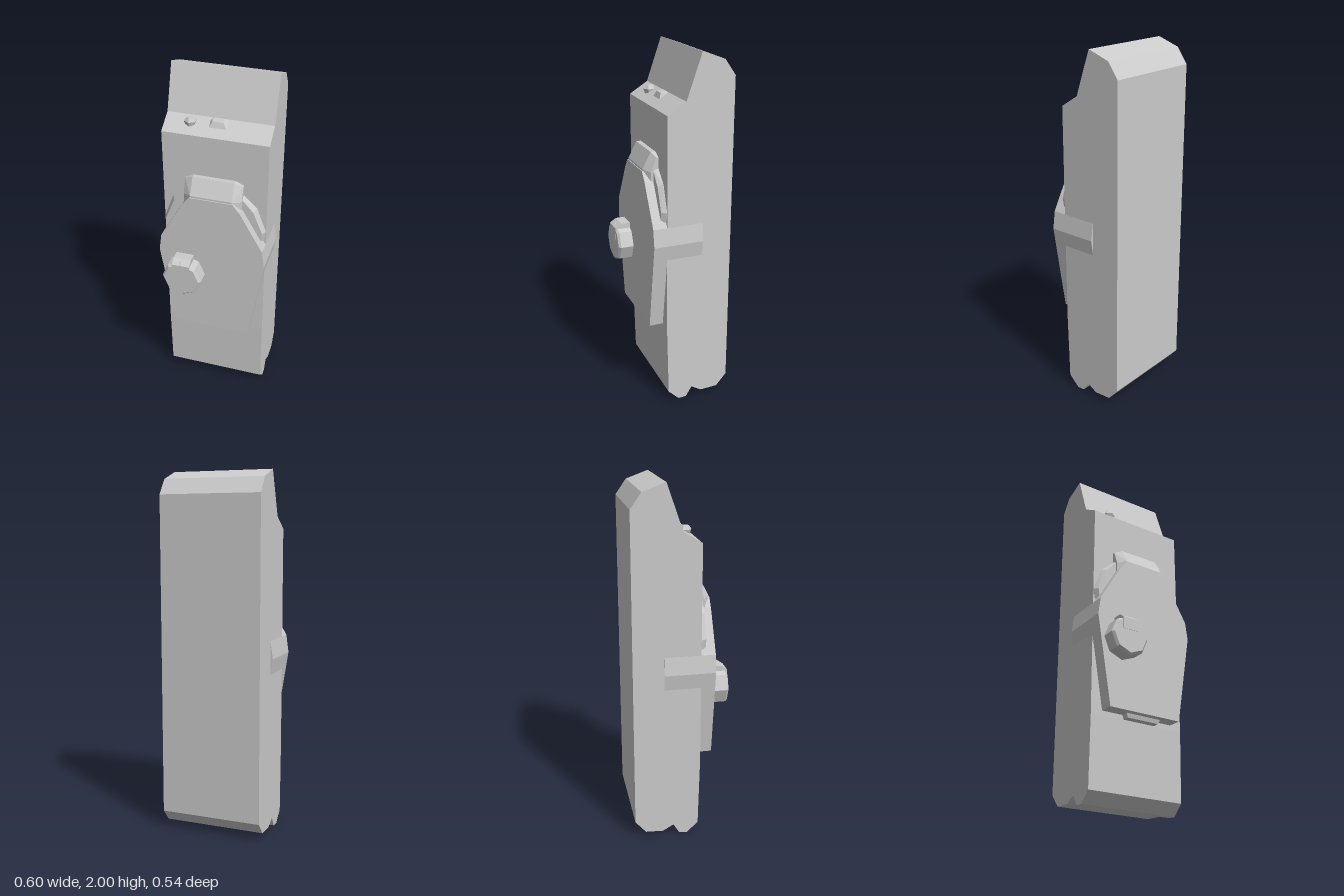
import * as THREE from 'three';
import { ConvexGeometry } from 'three/addons/geometries/ConvexGeometry.js';

const material = new THREE.MeshStandardMaterial({ color: 0xcccccc, flatShading: true });

function part(name, geometry, parent) {
  const mesh = new THREE.Mesh(geometry, material);
  mesh.name = name;
  parent.add(mesh);
  return mesh;
}

const extrude = (points, depth) => new THREE.ExtrudeGeometry(
  new THREE.Shape(points.map(([x, y]) => new THREE.Vector2(x, y))),
  { depth, bevelEnabled: false });

const hull = (points) => new ConvexGeometry(points.map((p) => new THREE.Vector3(...p)));

// Repeats each point on both sides of x = 0
const mirrored = (points) => points.flatMap(([x, y, z]) => [[x, y, z], [-x, y, z]]);

export function createModel() {
  const model = new THREE.Group();
  model.name = 'handheldDevice';

  // Body: side profile as [z, y], swept across the width
  const profile = [
    [-0.085, 2], [-0.21, 1.955], [-0.27, 1.87], [-0.27, 0.1], [-0.21, 0.03], [-0.11, 0.025],
    [-0.05, 0.06], [-0.015, 0.003], [0.03, 0], [0.093, 0.06], [0.103, 0.45], [0.103, 1.69], [0, 1.755],
  ];
  const body = extrude(profile.map(([z, y]) => [-z, y]), 0.576);
  body.translate(0, 0, -0.288).rotateY(Math.PI / 2);
  part('body', body, model);

  // Front plate: its widest part wraps slightly past the body sides
  const half = [[0.22, 0.478], [0.302, 0.985], [0.288, 1.085], [0.16, 1.31], [0.12, 1.36]];
  const outline = [...half, ...half.map(([x, y]) => [-x, y]).reverse()];
  part('frontPlate', extrude(outline, 0.282).translate(0, 0, -0.1), model);

  // Chamfered latch over the top of the plate
  part('latch', hull(mirrored([
    [0.16, 1.31, 0.05], [0.16, 1.31, 0.145], [0.16, 1.36, 0.145], [0.16, 1.44, 0.115], [0.16, 1.44, 0.05],
    [0.115, 1.31, 0.177], [0.115, 1.37, 0.177], [0.115, 1.46, 0.13], [0.115, 1.46, 0.05],
  ])), model);

  // Bevelled shoulder rims either side of the latch
  const rim = [[0.15, 1.39], [0.235, 1.31], [0.287, 1.17], [0.277, 1.115], [0.15, 1.115]];
  for (const side of [1, -1]) {
    part(side > 0 ? 'leftRim' : 'rightRim', hull(rim.flatMap(([x, y]) => [
      [side * x, y, 0.08], [side * x, y, 0.105],
      [side * (x > 0.15 ? x - 0.014 : x), y - (y > 1.3 ? 0.012 : 0), 0.132],
    ])), model);
  }

  // Small lip under the plate
  part('lowerLip', hull([
    [-0.1, 0.49, 0.09], [0.125, 0.49, 0.09], [-0.1, 0.49, 0.15], [0.125, 0.49, 0.15],
    [-0.085, 0.453, 0.09], [0.11, 0.453, 0.09], [-0.085, 0.455, 0.14], [0.11, 0.455, 0.14],
  ]), model);

  // Eight-sided knob with a chamfered face and a pointer tab
  const knob = new THREE.Group();
  knob.name = 'knob';
  knob.position.set(-0.15, 0.863, 0.16);
  model.add(knob);
  const knobProfile = [[0, 0], [0.113, 0], [0.113, 0.095], [0.101, 0.108], [0, 0.108]]
    .map(([r, h]) => new THREE.Vector2(r, h));
  part('knobBody', new THREE.LatheGeometry(knobProfile, 8).rotateX(Math.PI / 2), knob);
  part('knobTab', hull(mirrored([
    [0.05, 0.03, 0], [0.05, 0.122, 0], [0.05, 0.122, 0.075], [0.05, 0.098, 0.11], [0.05, 0.03, 0.11],
  ])), knob);

  // Hexagonal stud on the sloping ledge
  const studProfile = [[0, 1.7], [0.022, 1.705], [0.035, 1.742], [0.021, 1.762], [0, 1.762]]
    .map(([r, y]) => new THREE.Vector2(r, y));
  part('ledgeStud', new THREE.LatheGeometry(studProfile, 6), model).position.set(-0.15, 0, 0.037);

  // Wedge button on the sloping ledge
  part('ledgeButton', hull(mirrored([
    [0.05, 1.75, 0.003], [0.05, 1.715, 0.055], [0.05, 1.7, 0.003],
    [0.03, 1.757, 0.003], [0.03, 1.752, 0.04],
  ])), model);

  return model;
}
